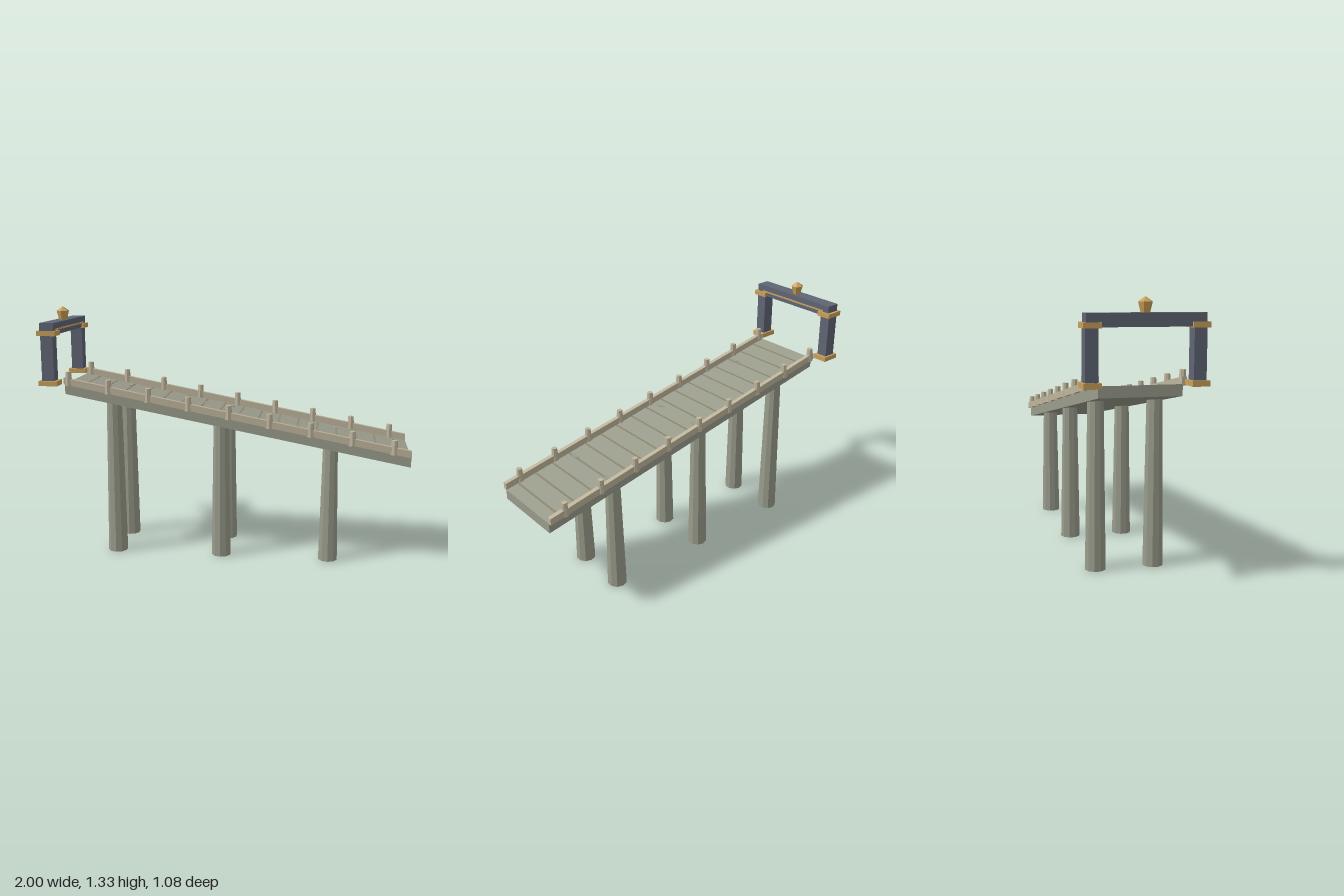
import * as THREE from 'three';

const stone = new THREE.MeshStandardMaterial({ color: 0x9a9c8c, flatShading: true });
const pale = new THREE.MeshStandardMaterial({ color: 0xbfb59c, flatShading: true });
const groove = new THREE.MeshStandardMaterial({ color: 0x8f8770, flatShading: true });
const slate = new THREE.MeshStandardMaterial({ color: 0x5f6573, flatShading: true });
const gold = new THREE.MeshStandardMaterial({ color: 0xc9a05a, flatShading: true });

const HALF = 0.914;       // half the deck length
const SLOPE = 0.1887;     // fall per unit along the deck
const SLAB = 0.055;       // deck thickness
const deckTop = (u) => 0.7625 - SLOPE * u;

export function createModel() {
  const model = new THREE.Group();
  model.name = 'slopedPier';
  // local x runs along the deck, local z across it
  model.position.set(0.063, 0, 0.051);
  model.rotation.y = -0.311;

  const add = (parent, name, geometry, material, x = 0, y = 0, z = 0) => {
    const mesh = new THREE.Mesh(geometry, material);
    mesh.name = name;
    mesh.position.set(x, y, z);
    parent.add(mesh);
    return mesh;
  };
  const box = (w, h, d) => new THREE.BoxGeometry(w, h, d);

  // box that follows the deck slope while its ends stay vertical
  const shear = new THREE.Matrix4().set(1, 0, 0, 0, -SLOPE, 1, 0, 0, 0, 0, 1, 0, 0, 0, 0, 1);
  const slopedBox = (w, h, d) => box(w, h, d).applyMatrix4(shear);

  // deck slab with side curbs
  const deck = new THREE.Group();
  deck.name = 'deck';
  model.add(deck);
  add(deck, 'slab', slopedBox(2 * HALF, SLAB, 0.4), stone, 0, deckTop(0) - SLAB / 2, 0);
  for (const s of [-1, 1]) {
    add(deck, 'curb', slopedBox(2 * HALF, 0.036, 0.024), pale, 0, deckTop(0) + 0.017, s * 0.207);
  }

  // level plank strips barely showing through the slope
  for (let i = 0; i < 17; i++) {
    const u = -0.84 + i * 0.105;
    add(deck, 'plankStrip', box(0.02, 0.012, 0.385), groove, u, deckTop(u) - 0.006, 0);
  }

  // short tapered posts along both curbs
  for (const s of [-1, 1]) {
    for (let i = 0; i < 9; i++) {
      const u = -0.89 + i * 0.2144;
      add(model, 'curbPost', new THREE.CylinderGeometry(0.015, 0.02, 0.075, 8), pale,
        u, deckTop(u) + 0.0335, s * 0.207);
    }
  }

  // three pairs of tapered supporting columns
  for (const u of [-0.66, -0.08, 0.5]) {
    for (const s of [-1, 1]) {
      const h = deckTop(u) - 0.003;
      add(model, 'column', new THREE.CylinderGeometry(0.04, 0.053, h, 10), stone,
        u, h / 2, s * 0.148);
    }
  }

  // gateway at the high end
  const gate = new THREE.Group();
  gate.name = 'gateway';
  gate.position.set(-0.978, 0, -0.003);
  model.add(gate);
  for (const s of [-1, 1]) {
    add(gate, 'gatePost', box(0.066, 0.27, 0.06), slate, 0, 1.075, s * 0.249);
    add(gate, 'postBase', box(0.1, 0.026, 0.083), gold, 0, 0.947, s * 0.249);
    add(gate, 'postCap', box(0.1, 0.026, 0.083), gold, 0, 1.209, s * 0.249);
  }
  add(gate, 'beam', box(0.075, 0.062, 0.55), slate, 0, 1.231, 0);
  add(gate, 'beamTrim', box(0.006, 0.008, 0.47), gold, 0.039, 1.227, 0);

  // lantern-shaped finial
  const profile = [[0, 0], [0.022, 0], [0.034, 0.048], [0, 0.072]].map(([r, y]) => new THREE.Vector2(r, y));
  add(gate, 'finial', new THREE.LatheGeometry(profile, 6), gold, 0, 1.261, 0);

  return model;
}
